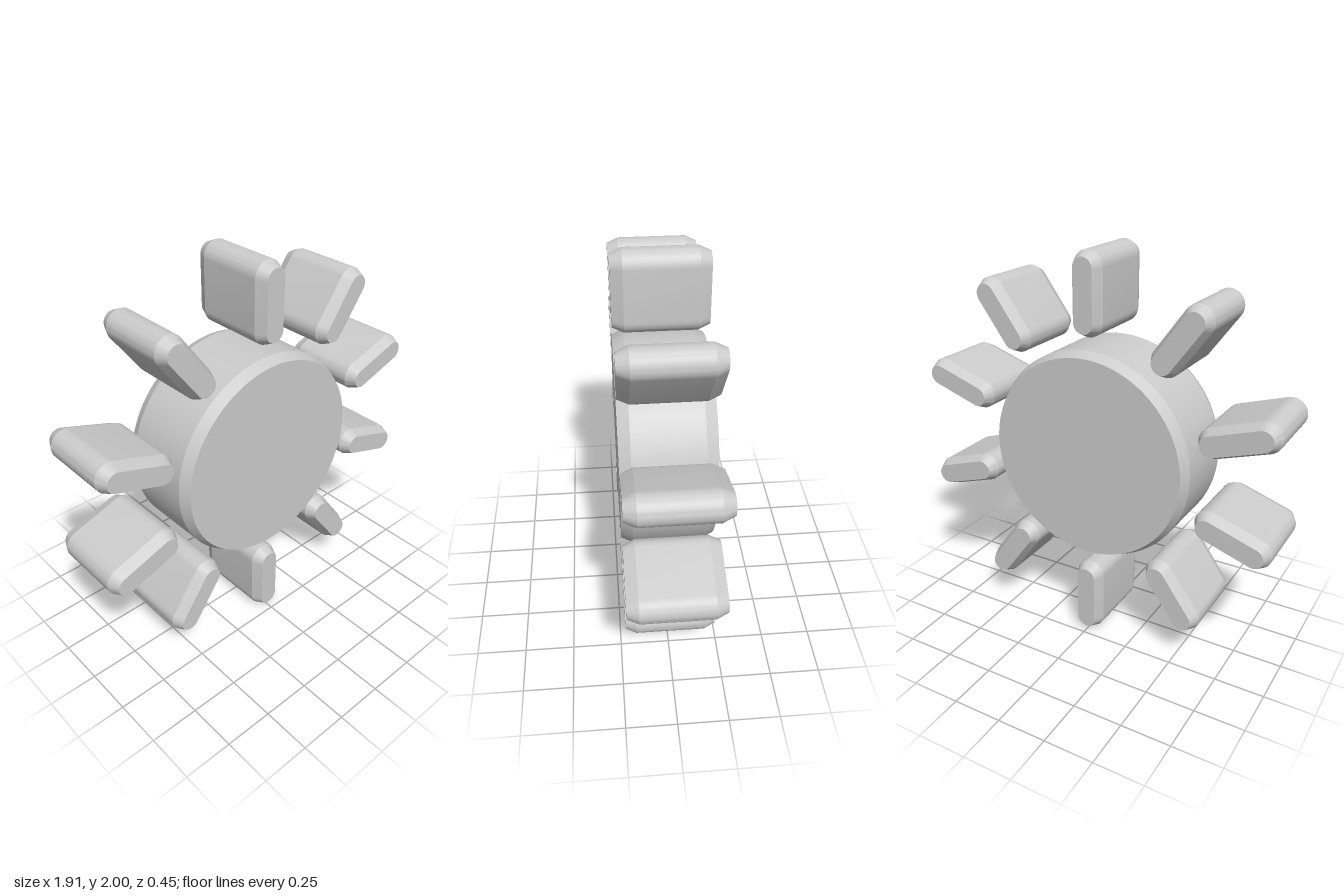
import * as THREE from 'three';
import { toCreasedNormals } from 'three/addons/utils/BufferGeometryUtils.js';

const DEPTH = 0.45, CHAMFER_Z = 0.055, CHAMFER_R = 0.025;

// Thick slab with chamfered front and back rims, centred on z = 0
function slab(shape, curveSegments) {
  const geometry = new THREE.ExtrudeGeometry(shape, {
    depth: DEPTH - 2 * CHAMFER_Z,
    curveSegments,
    bevelEnabled: true,
    bevelSegments: 1,
    bevelThickness: CHAMFER_Z,
    bevelSize: CHAMFER_R,
    bevelOffset: -CHAMFER_R,
  });
  geometry.translate(0, 0, CHAMFER_Z - DEPTH / 2);
  return toCreasedNormals(geometry, 0.36);
}

export function createModel() {
  const model = new THREE.Group();
  model.name = 'sun';
  const material = new THREE.MeshStandardMaterial({ color: 0xcccccc });

  // Central disc
  const circle = new THREE.Shape();
  circle.absarc(0, 0, 0.535, 0, Math.PI * 2, false);
  const disc = new THREE.Mesh(slab(circle, 72), material);
  disc.name = 'disc';
  disc.position.y = 1;
  model.add(disc);

  // Ten round-ended rays, the first pointing straight up
  const r = 0.075, inner = 0.6, outer = 1;
  const pill = new THREE.Shape();
  pill.absarc(0, outer - r, r, 0, Math.PI, false);
  pill.absarc(0, inner + r, r, Math.PI, Math.PI * 2, false);
  const rayGeometry = slab(pill, 12);
  for (let i = 0; i < 10; i++) {
    const ray = new THREE.Mesh(rayGeometry, material);
    ray.name = `ray${i + 1}`;
    ray.position.y = 1;
    ray.rotation.z = (i * Math.PI) / 5;
    model.add(ray);
  }
  return model;
}
